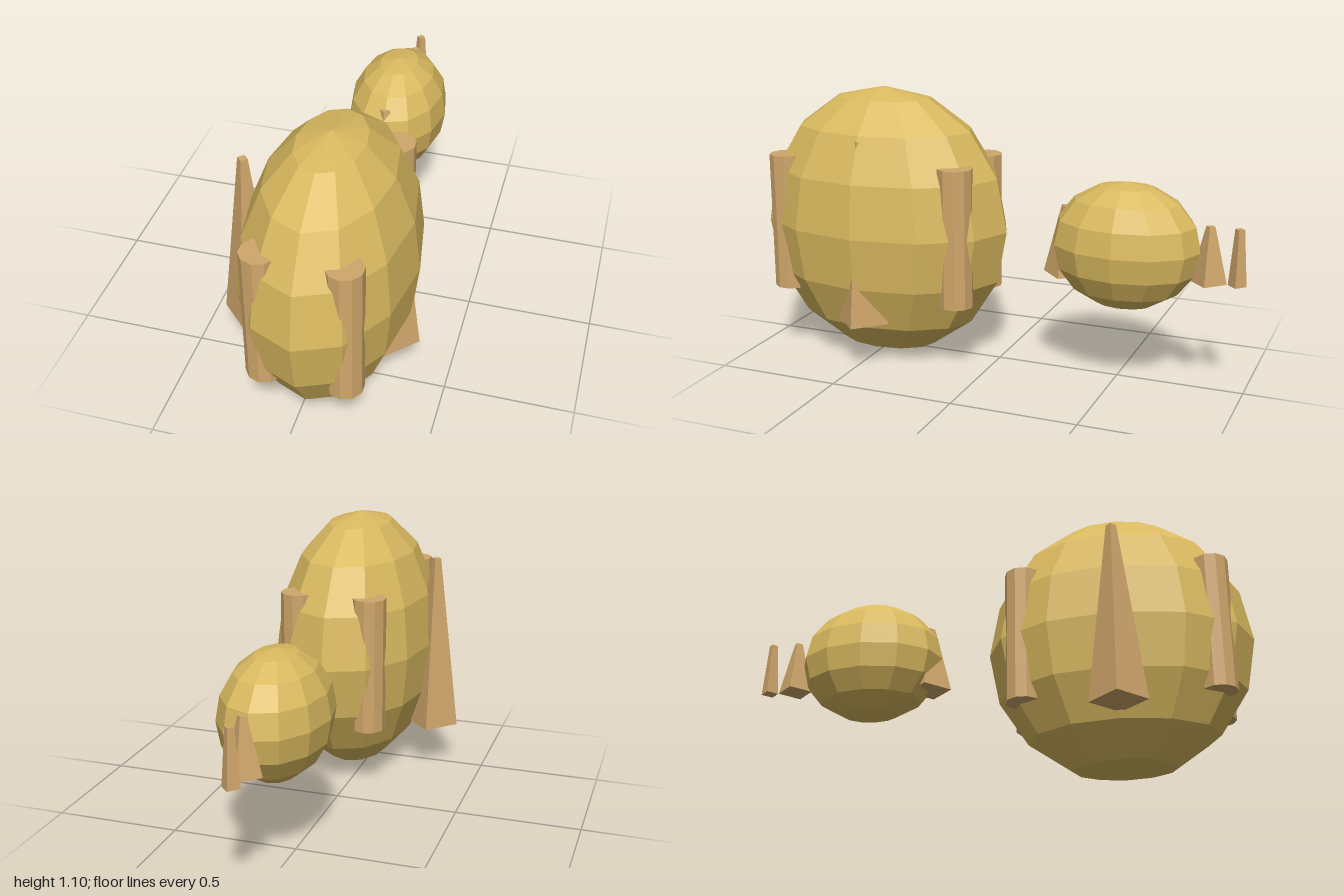
import * as THREE from 'three';

export function createModel() {
  const model = new THREE.Group();
  const gold = new THREE.MeshStandardMaterial({ color: 0xd9b95f, flatShading: true });
  gold.name = 'gold';
  const tan = new THREE.MeshStandardMaterial({ color: 0xd0a76b, flatShading: true });
  tan.name = 'tan';

  const add = (name, geometry, material, x, y, z) => {
    const mesh = new THREE.Mesh(geometry, material);
    mesh.name = name;
    mesh.position.set(x, y, z);
    model.add(mesh);
  };

  // Faceted ellipsoid, 12 sides by 8 rings
  const ellipsoid = (name, rx, ry, rz, x, y, z) =>
    add(name, new THREE.SphereGeometry(1, 12, 8).scale(rx, ry, rz), gold, x, y, z);

  // Tapered four-sided spike standing between two heights
  const spike = (name, rTop, rBase, yBase, yTop, x, z) =>
    add(name, new THREE.CylinderGeometry(rTop, rBase, yTop - yBase, 4), tan, x, (yBase + yTop) / 2, z);

  const cx = 0.052;

  // Body and head
  ellipsoid('body', 0.328, 0.552, 0.525, cx, 0.552, 0.475);
  ellipsoid('head', 0.206, 0.248, 0.291, cx, 0.555, -0.535);

  // Four ten-sided legs set into the body
  for (const sx of [-1, 1]) {
    for (const sz of [-1, 1]) {
      add(`${sz > 0 ? 'front' : 'back'}${sx > 0 ? 'Left' : 'Right'}Leg`,
        new THREE.CylinderGeometry(0.07, 0.07, 0.553, 10), tan,
        cx + sx * 0.15, 0.554, 0.475 + sz * 0.37);
    }
  }

  // Side spikes
  spike('rightSpike', 0.02, 0.11, 0.19, 0.922, -0.28, 0.475);
  spike('leftSpike', 0.02, 0.11, 0.19, 0.922, 0.28, 0.475);

  // Spikes before and behind the head
  spike('neckSpike', 0.019, 0.09, 0.417, 0.69, cx, -0.297);
  spike('snout', 0.017, 0.07, 0.445, 0.663, cx, -0.857);
  spike('snoutTip', 0.018, 0.035, 0.445, 0.663, cx, -0.965);

  return model;
}
